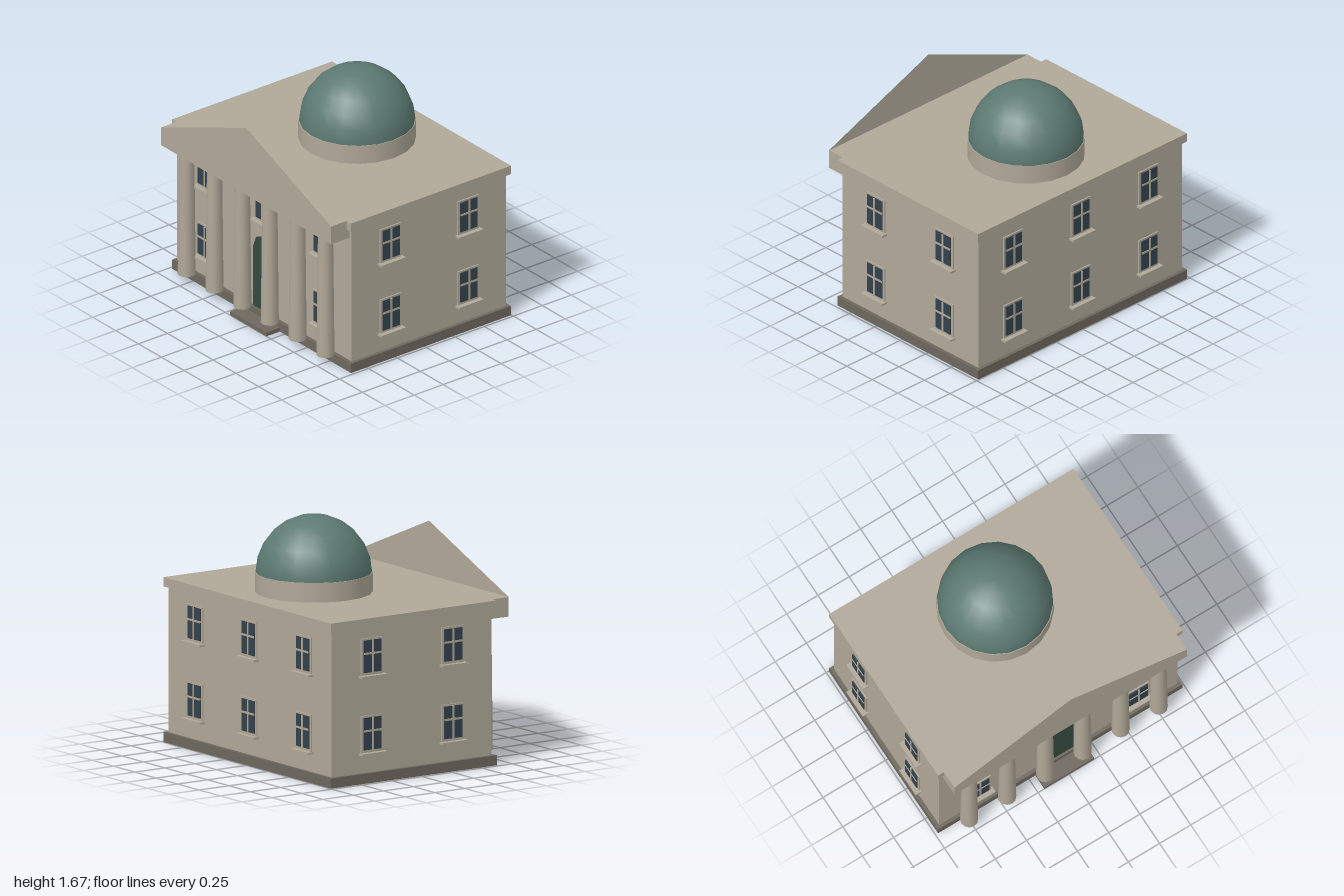
import * as THREE from 'three';

const material = (name, color, side = THREE.FrontSide) => {
  const m = new THREE.MeshStandardMaterial({ color, side });
  m.name = name;
  return m;
};

export function createModel() {
  const stone = material('stone', 0xb0a898, THREE.DoubleSide);
  const darkStone = material('dark stone', 0x6e685e);
  const glass = material('window glass', 0x34424c);
  const doorGreen = material('door green', 0x344a40);
  const copper = material('green copper', 0x5c7a72);

  const model = new THREE.Group();
  model.name = 'domedHall';

  const add = (parent, name, geometry, mat, x = 0, y = 0, z = 0) => {
    const mesh = new THREE.Mesh(geometry, mat);
    mesh.name = name;
    mesh.position.set(x, y, z);
    parent.add(mesh);
    return mesh;
  };
  // Box given by its lower and upper limits on each axis
  const box = (parent, name, mat, x0, x1, y0, y1, z0, z1) =>
    add(parent, name, new THREE.BoxGeometry(x1 - x0, y1 - y0, z1 - z0), mat,
      (x0 + x1) / 2, (y0 + y1) / 2, (z0 + z1) / 2);

  // Main block
  box(model, 'plinth', darkStone, -0.98, 0.98, 0, 0.07, -0.745, 0.635);
  box(model, 'walls', stone, -0.955, 0.955, 0.07, 1.076, -0.72, 0.61);
  box(model, 'cornice', stone, -0.98, 0.98, 1.076, 1.14, -0.745, 0.635);
  box(model, 'doorStep', darkStone, -0.2, 0.2, 0, 0.028, 0.635, 0.75);

  // Portico: tapered columns, entablature and flat gable
  for (const x of [-0.76, -0.455, -0.15, 0.15, 0.455, 0.76]) {
    add(model, 'column', new THREE.CylinderGeometry(0.052, 0.062, 0.935, 12), stone, x, 0.5375, 0.682);
  }
  box(model, 'entablature', stone, -0.932, 0.932, 1.005, 1.14, 0.6, 0.768);
  const gable = new THREE.Shape([
    new THREE.Vector2(-0.932, 1.14), new THREE.Vector2(0.932, 1.14), new THREE.Vector2(0, 1.515),
  ]);
  add(model, 'pediment', new THREE.ShapeGeometry(gable), stone, 0, 0, 0.768);

  // Arched door
  const r = 0.115;
  const spring = 0.635 - r;
  const outline = [new THREE.Vector2(-r, 0.07), new THREE.Vector2(r, 0.07)];
  for (let i = 0; i <= 4; i++) {
    const a = (i * Math.PI) / 4;
    outline.push(new THREE.Vector2(r * Math.cos(a), spring + r * Math.sin(a)));
  }
  add(model, 'door', new THREE.ExtrudeGeometry(new THREE.Shape(outline),
    { depth: 0.009, bevelEnabled: false }), doorGreen, 0, 0, 0.61);

  // Drum and dome
  add(model, 'drum', new THREE.CylinderGeometry(0.4, 0.4, 0.135, 20), stone, 0, 1.2075, -0.19);
  add(model, 'dome', new THREE.SphereGeometry(0.395, 20, 6, 0, Math.PI * 2, 0, Math.PI / 2),
    copper, 0, 1.275, -0.19);

  // Window facing +z, origin at the middle of its glass on the wall
  const addWindow = (x, y, z, turn) => {
    const w = new THREE.Group();
    w.name = 'window';
    box(w, 'frame', stone, -0.09, 0.09, -0.135, 0.123, -0.005, 0.01);
    box(w, 'pane', glass, -0.073, 0.073, -0.113, 0.11, 0.01, 0.018);
    box(w, 'uprightBar', stone, -0.007, 0.007, -0.113, 0.11, 0.01, 0.022);
    box(w, 'crossBar', stone, -0.073, 0.073, 0.012, 0.026, 0.01, 0.022);
    box(w, 'sill', stone, -0.105, 0.105, -0.147, -0.132, -0.005, 0.045);
    w.position.set(x, y, z);
    w.rotation.y = turn;
    model.add(w);
  };
  for (const y of [0.342, 0.877]) {
    for (const x of [-0.635, 0, 0.635]) {
      addWindow(x, y, -0.72, Math.PI);
      if (x !== 0 || y > 0.5) addWindow(x, y, 0.61, 0);
    }
    for (const side of [-1, 1]) {
      for (const z of [-0.39, 0.28]) addWindow(side * 0.955, y, z, (side * Math.PI) / 2);
    }
  }
  return model;
}
